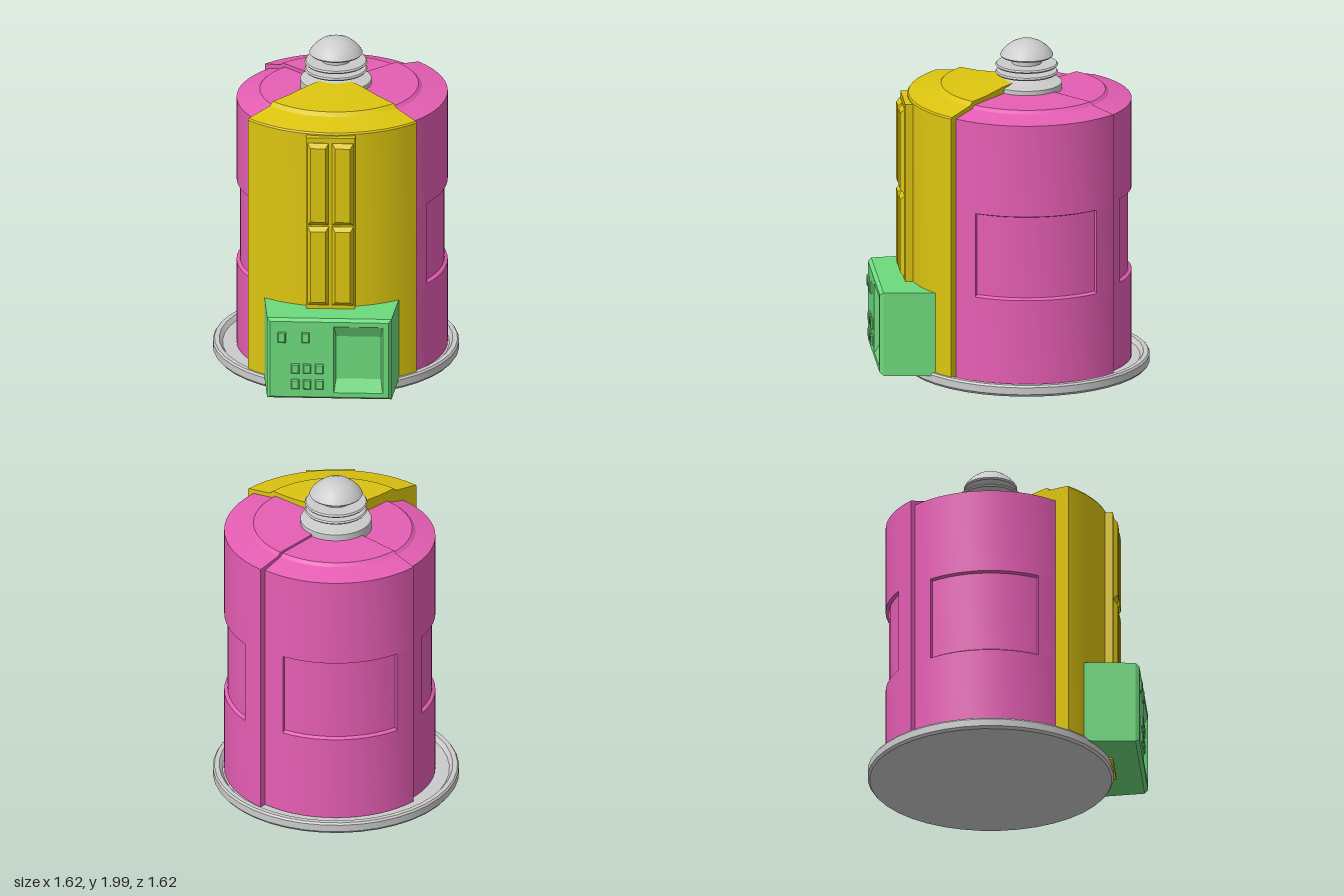
import * as THREE from 'three';
import { toCreasedNormals } from 'three/addons/utils/BufferGeometryUtils.js';

const mat = (color) => new THREE.MeshStandardMaterial({ color, side: THREE.DoubleSide });
const GREY = mat(0xcccccc), PINK = mat(0xe65eb4), YELLOW = mat(0xddc510), GREEN = mat(0x6edb7d);
const RAD = Math.PI / 180, STEP = 6;

function add(parent, name, geometry, material, x = 0, y = 0, z = 0) {
  const mesh = new THREE.Mesh(geometry, material);
  mesh.name = name;
  mesh.position.set(x, y, z);
  parent.add(mesh);
  return mesh;
}

// Profile of [radius, height] points turned from angle a0 to a1 (degrees, 0 = +z, 90 = +x)
function turned(profile, a0 = 0, a1 = 360, segments = (a1 - a0) / STEP) {
  const points = profile.map(([r, y]) => new THREE.Vector2(r, y));
  const lathe = new THREE.LatheGeometry(points, segments, a0 * RAD, (a1 - a0) * RAD);
  return toCreasedNormals(lathe, 25 * RAD);
}

// Flat radial face closing a turned sector at one angle
function radialFace(profile, angle) {
  const shape = new THREE.Shape(profile.map(([r, y]) => new THREE.Vector2(r, y)));
  return new THREE.ShapeGeometry(shape).rotateY(angle * RAD - Math.PI / 2);
}

// Rectangular sections [width, height, z] joined in order, closed at the last one
function loft(sections) {
  const pos = [];
  const corners = ([w, h, z]) => [[-1, -1], [1, -1], [1, 1], [-1, 1]].map(([sx, sy]) => [sx * w / 2, sy * h / 2, z]);
  const quad = (a, b, c, d) => pos.push(...a, ...b, ...c, ...a, ...c, ...d);
  for (let i = 0; i + 1 < sections.length; i++) {
    const p = corners(sections[i]), q = corners(sections[i + 1]);
    for (let k = 0; k < 4; k++) quad(p[k], p[(k + 1) % 4], q[(k + 1) % 4], q[k]);
  }
  quad(...corners(sections[sections.length - 1]));
  const g = new THREE.BufferGeometry();
  g.setAttribute('position', new THREE.Float32BufferAttribute(pos, 3));
  g.computeVertexNormals();
  return g;
}

const BOTTOM = 0.06;

// Quarter of the drum with a stepped roof; optionally a sunken wall panel
function quarter(parent, name, a0, R, roof, material, panelled) {
  const g = new THREE.Group();
  g.name = name;
  parent.add(g);
  const a1 = a0 + 90;
  if (panelled) {
    const lo = 0.585, hi = 1.1, p0 = a0 + 12, p1 = a1 - 12, d = R - 0.02;
    const recess = [[R, lo], [d, lo + 0.012], [d, hi - 0.008], [R, hi]];
    add(g, 'lowerWall', turned([[R, BOTTOM], [R, lo]], a0, a1), material);
    add(g, 'upperWall', turned([[R, hi], ...roof], a0, a1), material);
    add(g, 'wallSideA', turned([[R, lo], [R, hi]], a0, p0), material);
    add(g, 'wallSideB', turned([[R, lo], [R, hi]], p1, a1), material);
    add(g, 'sunkenPanel', turned(recess, p0, p1), material);
    for (const a of [p0, p1]) add(g, 'panelReveal', radialFace(recess, a), material);
  } else {
    add(g, 'wall', turned([[R, BOTTOM], ...roof], a0, a1), material);
  }
  const outline = [[0, BOTTOM], [R, BOTTOM], ...roof, [0, roof[roof.length - 1][1]]];
  for (const a of [a0, a1]) add(g, 'radialFace', radialFace(outline, a), material);
}

export function createModel() {
  const model = new THREE.Group();
  model.name = 'drumHouse';
  const body = new THREE.Group();
  body.name = 'body';
  body.position.set(-0.08, 0, -0.09);
  model.add(body);

  // Round tray with a raised rim
  add(body, 'base', turned([[0, 0.01], [0.715, 0.01], [0.727, 0.025], [0.727, 0.068], [0.718, 0.08],
    [0.69, 0.08], [0.67, 0.055], [0, 0.055]], 0, 360, 40), GREY);

  // Four quarters of differing radius and height
  const pinkRoof = (R, H, s, top) => [[R, H], [s + 0.01, top - 0.022], [s - 0.01, top - 0.004], [0.2, top + 0.004]];
  quarter(body, 'frontRightQuarter', 270, 0.587, pinkRoof(0.587, 1.62, 0.46, 1.675), PINK, true);
  quarter(body, 'backRightQuarter', 180, 0.62, pinkRoof(0.62, 1.64, 0.475, 1.697), PINK, true);
  quarter(body, 'backLeftQuarter', 90, 0.66, pinkRoof(0.66, 1.66, 0.497, 1.71), PINK, true);
  quarter(body, 'frontLeftQuarter', 0, 0.705, [[0.705, 1.668], [0.698, 1.678], [0.53, 1.71], [0.505, 1.732],
    [0.38, 1.737], [0.22, 1.755], [0.1, 1.76]], YELLOW, false);

  // Collar, neck, two rings and a domed cap
  add(body, 'collar', turned([[0.21, 1.65], [0.21, 1.74], [0.2, 1.746], [0.17, 1.748], [0.09, 1.77]]), GREY);
  add(body, 'neck', new THREE.CylinderGeometry(0.087, 0.087, 0.16, 32, 1, true), GREY, 0, 1.825, 0);
  for (const y of [1.802, 1.847]) {
    add(body, 'neckRing', turned([[0.08, y - 0.009], [0.178, y - 0.009], [0.185, y], [0.178, y + 0.009], [0.08, y + 0.009]]), GREY);
  }
  add(body, 'cap', turned([[0.08, 1.89], [0.15, 1.898], [0.157, 1.907], [0.145, 1.928], [0.12, 1.955],
    [0.09, 1.978], [0.05, 1.995], [0, 2]]), GREY);

  // Parts on the front left diagonal
  const diagonal = new THREE.Group();
  diagonal.name = 'diagonalParts';
  diagonal.rotation.y = Math.PI / 4;
  body.add(diagonal);

  // Window strip with four raised panes
  add(diagonal, 'windowStrip', new THREE.BoxGeometry(0.29, 1.61, 0.135), YELLOW, 0, 0.855, 0.6675);
  for (const x of [-0.073, 0.073]) {
    for (const [y, h] of [[1.367, 0.52], [0.845, 0.5]]) {
      add(diagonal, 'windowPane', loft([[0.125, h, 0.73], [0.125, h, 0.738], [0.09, h - 0.05, 0.762]]), YELLOW, x, y, 0);
    }
  }

  // Control box: tapered sides, chamfered front edge, faceplate with an opening
  const box = new THREE.Group();
  box.name = 'controlBox';
  box.position.y = 0.315;
  diagonal.add(box);
  const back = loft([[0.8, 0.51, 0.885], [0.8, 0.51, 0.575]]);
  const shell = loft([[0.795, 0.51, 0.575], [0.735, 0.51, 0.885], [0.7, 0.478, 0.907]]);
  // the shell's last quad is dropped so the faceplate opening stays clear
  shell.setDrawRange(0, 48);
  back.dispose();
  const openShell = new THREE.BufferGeometry();
  for (const key of ['position', 'normal']) {
    openShell.setAttribute(key, new THREE.Float32BufferAttribute(shell.getAttribute(key).array.slice(0, 144), 3));
  }
  add(box, 'boxShell', openShell, GREEN);
  add(box, 'boxBack', new THREE.PlaneGeometry(0.795, 0.51), GREEN, 0, 0, 0.575);

  const rect = (cx, w, h) => [[-1, -1], [1, -1], [1, 1], [-1, 1]].map(([a, b]) => new THREE.Vector2(cx + a * w / 2, b * h / 2));
  const plate = new THREE.Shape(rect(0, 0.7, 0.478));
  const cx = 0.172;
  plate.holes.push(new THREE.Path(rect(cx, 0.295, 0.42)));
  add(box, 'boxFaceplate', new THREE.ShapeGeometry(plate), GREEN, 0, 0, 0.907);
  add(box, 'boxRecess', loft([[0.295, 0.42, 0.907], [0.285, 0.41, 0.9], [0.265, 0.27, 0.865]]), GREEN, cx, -0.01 + 0.01, 0);

  // Raised buttons: two on top, a grid of six below
  const button = (x, y, w, h) => add(box, 'button', loft([[w, h, 0.9], [w, h, 0.915], [w - 0.012, h - 0.012, 0.921]]), GREEN, x, y - 0.315, 0);
  for (const x of [-0.28, -0.14]) button(x, 0.455, 0.048, 0.066);
  for (const x of [-0.2, -0.13, -0.058]) for (const y of [0.257, 0.157]) button(x, y, 0.048, 0.06);

  return model;
}
